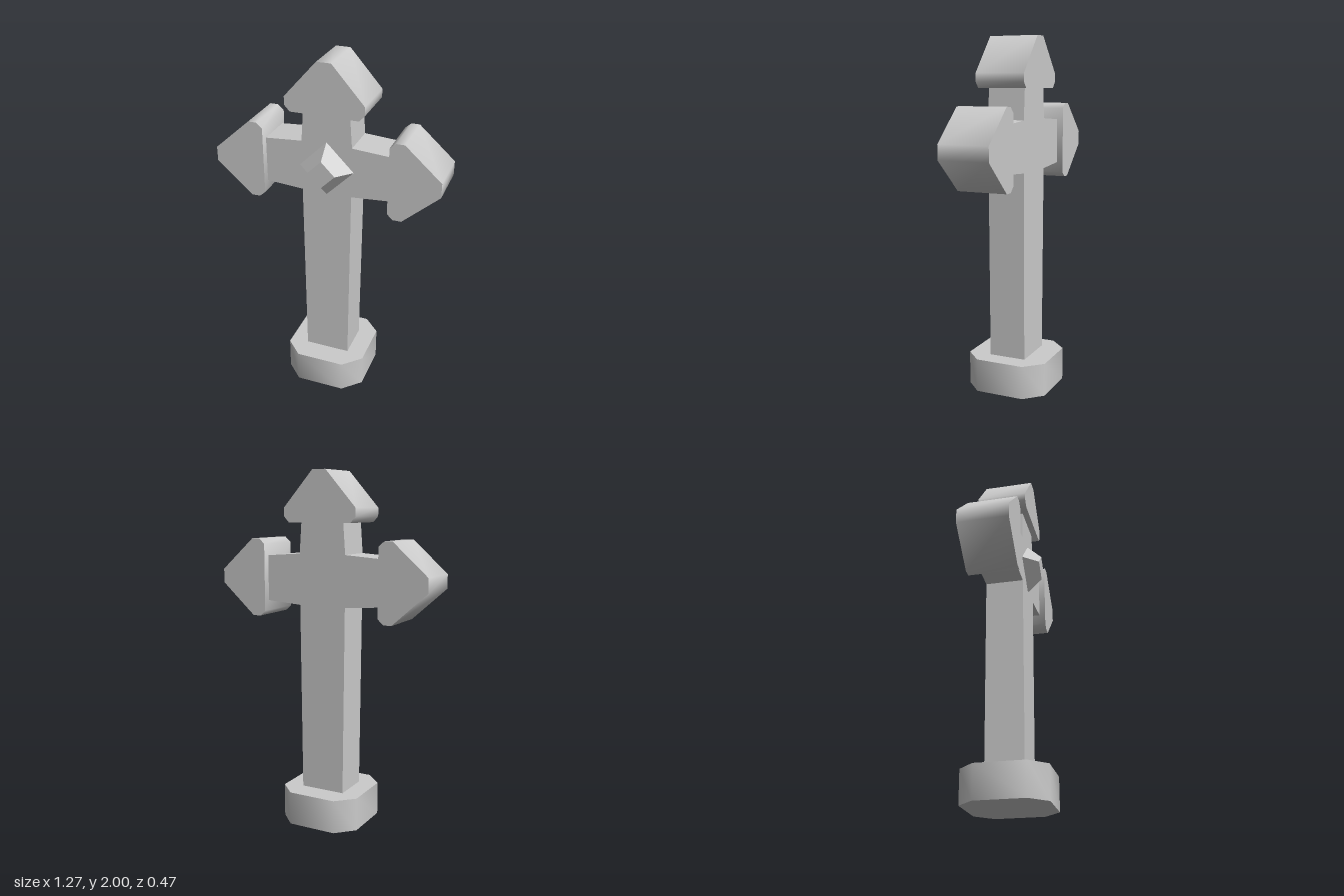
import * as THREE from 'three';
import { toCreasedNormals } from 'three/addons/utils/BufferGeometryUtils.js';

const material = new THREE.MeshStandardMaterial({ color: 0xcccccc });

// Extrude an outline along z from z0 to z1, smoothing only the shallow corners
function prism(name, points, z0, z1) {
  const shape = new THREE.Shape(points.map(([x, y]) => new THREE.Vector2(x, y)));
  const geo = new THREE.ExtrudeGeometry(shape, { depth: z1 - z0, bevelEnabled: false });
  geo.translate(0, 0, z0);
  const mesh = new THREE.Mesh(toCreasedNormals(geo, 1.0), material);
  mesh.name = name;
  return mesh;
}

// Close a right-hand outline by mirroring it across x = 0
const mirrored = (half) => [...half, ...half.map(([x, y]) => [-x, y]).reverse()];

export function createModel() {
  const group = new THREE.Group();
  group.name = 'cross';

  // Eight-sided foot with cut corners
  const foot = prism('base', mirrored([[0.14, -0.237], [0.237, -0.14], [0.237, 0.14], [0.14, 0.237]]), 0, 0.19);
  foot.rotation.x = -Math.PI / 2;
  group.add(foot);

  // Shaft, arms and neck, slightly flared towards the crossing
  group.add(prism('crossBody', mirrored([
    [0.13, 0.19], [0.141, 1.26], [0.35, 1.275], [0.35, 1.532], [0.142, 1.547], [0.13, 1.72],
  ]), -0.107, 0.107));

  // Arrow-shaped caps on the top and both arms
  const capOutline = mirrored([[0.19, 0], [0.22, 0.033], [0.22, 0.08], [0.04, 0.282]]);
  const caps = [
    ['topCap', 0, 1.718, 0],
    ['leftCap', 0.354, 1.407, -Math.PI / 2],
    ['rightCap', -0.354, 1.407, Math.PI / 2],
  ];
  for (const [name, x, y, angle] of caps) {
    const cap = prism(name, capOutline, -0.142, 0.142);
    cap.position.set(x, y, 0);
    cap.rotation.z = angle;
    group.add(cap);
  }

  // Faceted diamond stud on the front of the crossing
  const studGeo = new THREE.CylinderGeometry(0.076, 0.153, 0.083, 4).toNonIndexed();
  studGeo.computeVertexNormals();
  const stud = new THREE.Mesh(studGeo, material);
  stud.name = 'frontStud';
  stud.rotation.x = Math.PI / 2;
  stud.position.set(0, 1.407, 0.1485);
  group.add(stud);

  return group;
}
